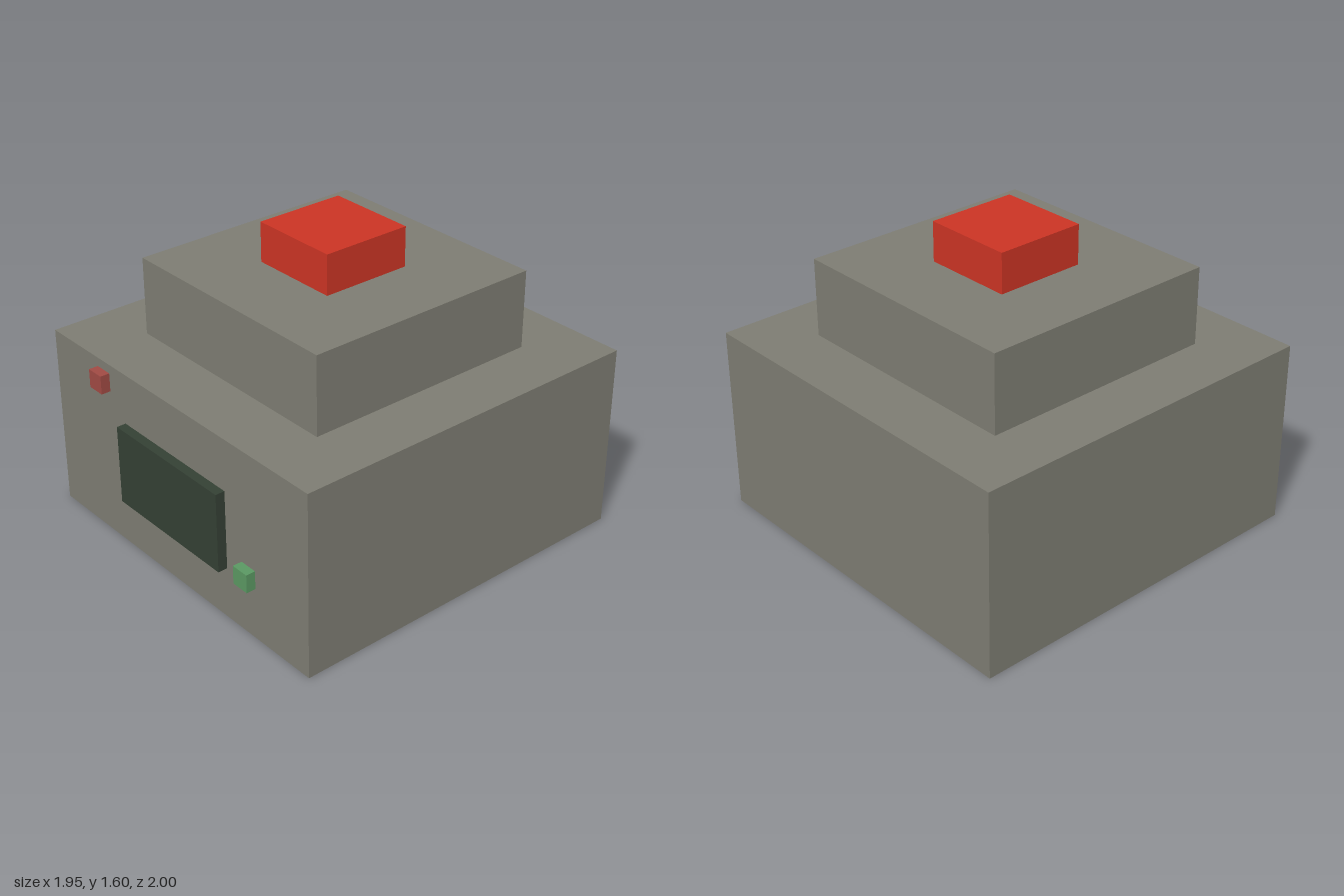
import * as THREE from 'three';

const mat = (name, color) => {
  const m = new THREE.MeshStandardMaterial({ color });
  m.name = name;
  return m;
};

export function createModel() {
  const group = new THREE.Group();
  const casing = mat('grey casing', 0x7d7c72);
  const buttonRed = mat('bright red', 0xcb3424);
  const screenGreen = mat('dark green', 0x344034);
  const lampRed = mat('dull red', 0xa04a44);
  const lampGreen = mat('light green', 0x5a9862);

  // Box given by its lower and upper limits on each axis
  const box = (name, material, [x0, x1], [y0, y1], [z0, z1]) => {
    const mesh = new THREE.Mesh(new THREE.BoxGeometry(x1 - x0, y1 - y0, z1 - z0), material);
    mesh.position.set((x0 + x1) / 2, (y0 + y1) / 2, (z0 + z1) / 2);
    mesh.name = name;
    group.add(mesh);
  };

  // Stepped housing with a push button on top
  box('body', casing, [-0.975, 0.975], [0, 0.978], [-1, 0.95]);
  box('upperTier', casing, [-0.65, 0.65], [0.978, 1.388], [-0.675, 0.625]);
  box('button', buttonRed, [-0.243, 0.243], [1.388, 1.597], [-0.268, 0.218]);

  // Raised details on the front panel
  const front = [0.95, 1];
  box('screen', screenGreen, [-0.39, 0.39], [0.28, 0.703], front);
  box('redLamp', lampRed, [-0.602, -0.504], [0.832, 0.93], front);
  box('greenLamp', lampGreen, [0.502, 0.6], [0.28, 0.378], front);

  return group;
}
